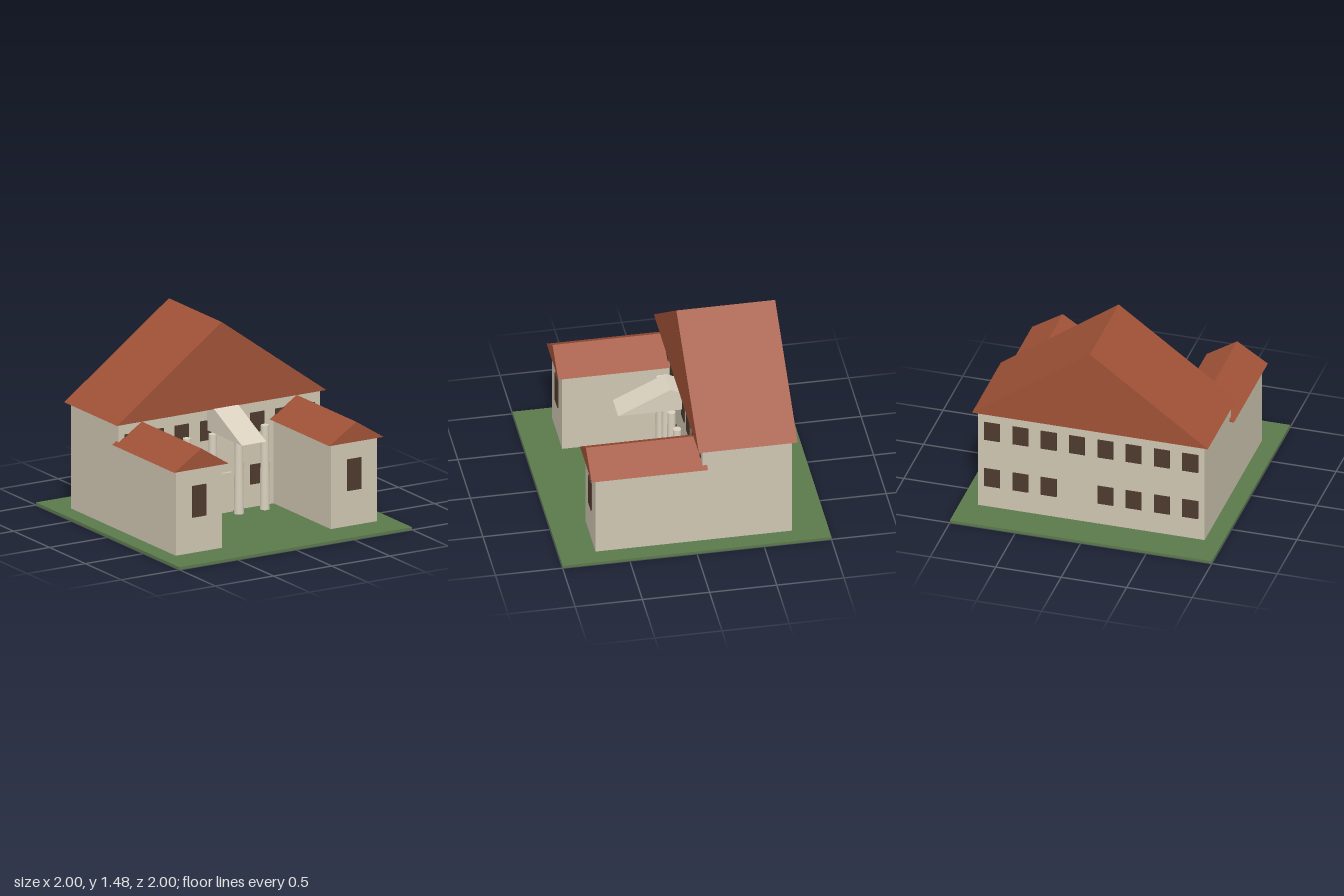
import * as THREE from 'three';

const material = (name, color) => {
  const m = new THREE.MeshStandardMaterial({ color });
  m.name = name;
  return m;
};

export function createModel() {
  const model = new THREE.Group();
  model.name = 'manor';

  const grass = material('grass green', 0x5a7a4a);
  const plaster = material('beige plaster', 0xcfc6b2);
  const tile = material('terracotta tile', 0xa05237);
  const stone = material('pale stone', 0xd9d0be);
  const pane = material('dark brown window', 0x4e3a2e);

  const add = (name, geometry, mat) => {
    const mesh = new THREE.Mesh(geometry, mat);
    mesh.name = name;
    model.add(mesh);
    return mesh;
  };

  // Box given by its lower and upper corners
  const box = (name, mat, [x0, y0, z0], [x1, y1, z1]) => {
    const mesh = add(name, new THREE.BoxGeometry(x1 - x0, y1 - y0, z1 - z0), mat);
    mesh.position.set((x0 + x1) / 2, (y0 + y1) / 2, (z0 + z1) / 2);
    return mesh;
  };

  // Closed triangular prism centred on its length, ridge along z
  const prism = (name, mat, halfWidth, height, length) => {
    const gable = new THREE.Shape([
      new THREE.Vector2(-halfWidth, 0),
      new THREE.Vector2(halfWidth, 0),
      new THREE.Vector2(0, height),
    ]);
    const g = new THREE.ExtrudeGeometry(gable, { depth: length, bevelEnabled: false });
    g.translate(0, 0, -length / 2);
    return add(name, g, mat);
  };

  // Thin window plate centred at x, y, z
  const windowPlate = (name, x, y, z, w, h) => {
    add(name, new THREE.BoxGeometry(w, h, 0.0095), pane).position.set(x, y, z);
  };

  // Lawn
  box('lawn', grass, [-1, 0, -1], [1, 0.02, 1]);

  // Main block and its large gabled roof
  box('mainBlock', plaster, [-0.865, 0.02, -0.73], [0.865, 0.825, -0.065]);
  prism('mainRoof', tile, 0.9, 0.655, 0.735).position.set(0, 0.825, -0.4);

  // Two rows of windows front and back, one bay left blank below
  for (const [side, z] of [['front', -0.061], ['back', -0.734]]) {
    for (let i = 0; i < 8; i++) {
      const x = (i - 3.5) * 0.216;
      windowPlate(`${side}UpperWindow`, x, 0.665, z, 0.12, 0.15);
      if (i !== 4) windowPlate(`${side}LowerWindow`, x, 0.27, z, 0.12, 0.15);
    }
  }

  // Mirrored side wings
  for (const [side, s] of [['left', 1], ['right', -1]]) {
    const x = s * 0.666;
    box(`${side}Wing`, plaster, [x - 0.199, 0.02, -0.07], [x + 0.199, 0.665, 0.73]);
    prism(`${side}WingRoof`, tile, 0.234, 0.15, 0.865).position.set(x, 0.665, 0.3325);
    windowPlate(`${side}WingWindow`, x, 0.41, 0.735, 0.12, 0.24);
  }

  // Entrance block
  box('entrance', plaster, [-0.1, 0.02, -0.07], [0.1, 0.32, -0.04]);

  // Portico columns
  for (const x of [-0.335, -0.112, 0.112, 0.335]) {
    add('column', new THREE.CylinderGeometry(0.03, 0.037, 0.64, 16), stone)
      .position.set(x, 0.34, 0.025);
  }

  // Portico roof, ridge running across the front
  const portico = prism('porticoRoof', stone, 0.39, 0.185, 0.21);
  portico.rotation.y = Math.PI / 2;
  portico.position.set(0, 0.665, 0.03);

  return model;
}
